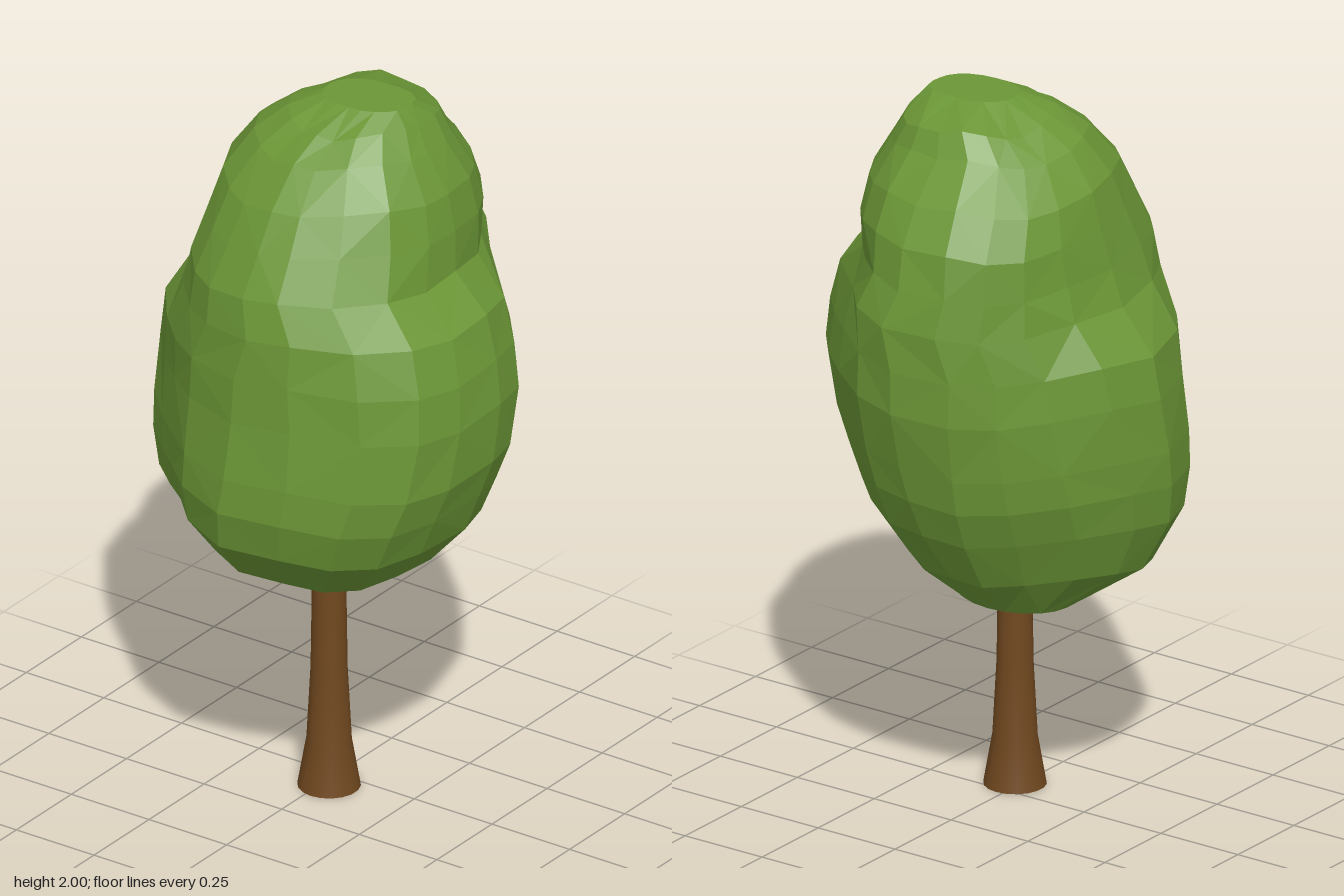
import * as THREE from 'three';

const SIDES = 20;

// Crown cross-sections from bottom to top: height, right, left, back, front extents,
// then fullness of the front-left, back-left, back-right, front-right corners
const SECTIONS = [
  [0.62, -0.27, 0.06, -0.23, 0.02, 1, 1, 1, 1],
  [0.73, -0.43, 0.31, -0.335, 0.36, 1.06, 0.93, 0.98, 0.8],
  [0.87, -0.5, 0.44, -0.42, 0.495, 1.07, 0.92, 0.97, 0.81],
  [0.98, -0.517, 0.48, -0.465, 0.517, 1.09, 0.9, 0.98, 0.84],
  [1.08, -0.52, 0.512, -0.487, 0.51, 1.09, 0.89, 0.98, 0.86],
  [1.24, -0.513, 0.515, -0.52, 0.482, 1.11, 0.89, 0.95, 0.89],
  [1.36, -0.495, 0.495, -0.522, 0.468, 1.12, 0.87, 0.94, 0.92],
  [1.48, -0.4, 0.46, -0.52, 0.455, 1.09, 0.82, 1.02, 0.98],
  [1.58, -0.365, 0.36, -0.49, 0.425, 1.09, 0.91, 1.05, 1],
  [1.69, -0.338, 0.348, -0.46, 0.365, 1.03, 0.96, 1.09, 1],
  [1.79, -0.312, 0.325, -0.4, 0.305, 1, 0.99, 1.07, 1],
  [1.89, -0.24, 0.26, -0.3, 0.21, 1, 1.07, 1.02, 1],
  [1.95, -0.16, 0.215, -0.265, 0.13, 1, 1.1, 1, 1],
  [2.0, -0.06, 0.18, -0.14, 0.03, 1, 1.2, 1, 1.1],
];

// One point on a cross-section, nudged a little for an uneven leafy surface
function crownPoint(row, j) {
  const [y, x0, x1, z0, z1, ...corners] = SECTIONS[row];
  const inner = row > 0 && row < SECTIONS.length - 1;
  const onAxis = j % (SIDES / 4) === 0;
  const wobble = (k) => (inner && !onAxis ? Math.sin(row * 12.9 + j * 7.3 + k * 4.1) : 0);
  const angle = ((j + wobble(0) * 0.2) / SIDES) * Math.PI * 2;
  const c = Math.cos(angle);
  const s = Math.sin(angle);
  const corner = s >= 0 ? (c >= 0 ? corners[0] : corners[3]) : (c >= 0 ? corners[1] : corners[2]);
  const fullness = 1 + (corner - 1) * Math.sin(2 * angle) ** 2 + wobble(1) * 0.01;
  return new THREE.Vector3(
    (x0 + x1) / 2 + ((x1 - x0) / 2) * c * fullness,
    y + wobble(2) * 0.015,
    (z0 + z1) / 2 + ((z1 - z0) / 2) * s * fullness,
  );
}

// Faceted crown skin with closed top and bottom
function crownGeometry() {
  const rings = SECTIONS.map((_, row) =>
    Array.from({ length: SIDES }, (__, j) => crownPoint(row, j)));
  const middle = (ring) => ring
    .reduce((sum, p) => sum.add(p), new THREE.Vector3())
    .divideScalar(SIDES);
  const bottom = rings[0];
  const top = rings[rings.length - 1];
  const bottomMiddle = middle(bottom);
  const topMiddle = middle(top);
  const corners = [];
  for (let j = 0; j < SIDES; j++) {
    const n = (j + 1) % SIDES;
    corners.push(bottomMiddle, bottom[j], bottom[n]);
    for (let row = 0; row < rings.length - 1; row++) {
      const a = rings[row][j];
      const b = rings[row + 1][j];
      const c = rings[row][n];
      const d = rings[row + 1][n];
      if ((row + j) % 2) corners.push(a, b, c, c, b, d);
      else corners.push(a, b, d, a, d, c);
    }
    corners.push(topMiddle, top[n], top[j]);
  }
  const geometry = new THREE.BufferGeometry().setFromPoints(corners);
  geometry.computeVertexNormals(); // unshared corners give flat facets
  return geometry;
}

export function createModel() {
  const leafGreen = new THREE.MeshStandardMaterial({ color: 0x6b9636 });
  leafGreen.name = 'leaf green';
  const barkBrown = new THREE.MeshStandardMaterial({ color: 0x70481f });
  barkBrown.name = 'bark brown';

  const tree = new THREE.Group();
  tree.name = 'tree';

  // Trunk: flared at the foot, rising into the crown
  const trunk = new THREE.Group();
  trunk.name = 'trunk';
  trunk.position.set(0.018, 0, 0.06);
  const profile = [[0.084, 0], [0.06, 0.14], [0.049, 0.35], [0.045, 0.63], [0.045, 0.7]]
    .map(([r, y]) => new THREE.Vector2(r, y));
  const stem = new THREE.Mesh(new THREE.LatheGeometry(profile, 18), barkBrown);
  stem.name = 'trunkStem';
  const foot = new THREE.Mesh(new THREE.CircleGeometry(0.084, 18).rotateX(Math.PI / 2), barkBrown);
  foot.name = 'trunkFoot';
  trunk.add(stem, foot);
  tree.add(trunk);

  // Crown: one lumpy mass of foliage
  const crown = new THREE.Mesh(crownGeometry(), leafGreen);
  crown.name = 'crown';
  tree.add(crown);
  return tree;
}
